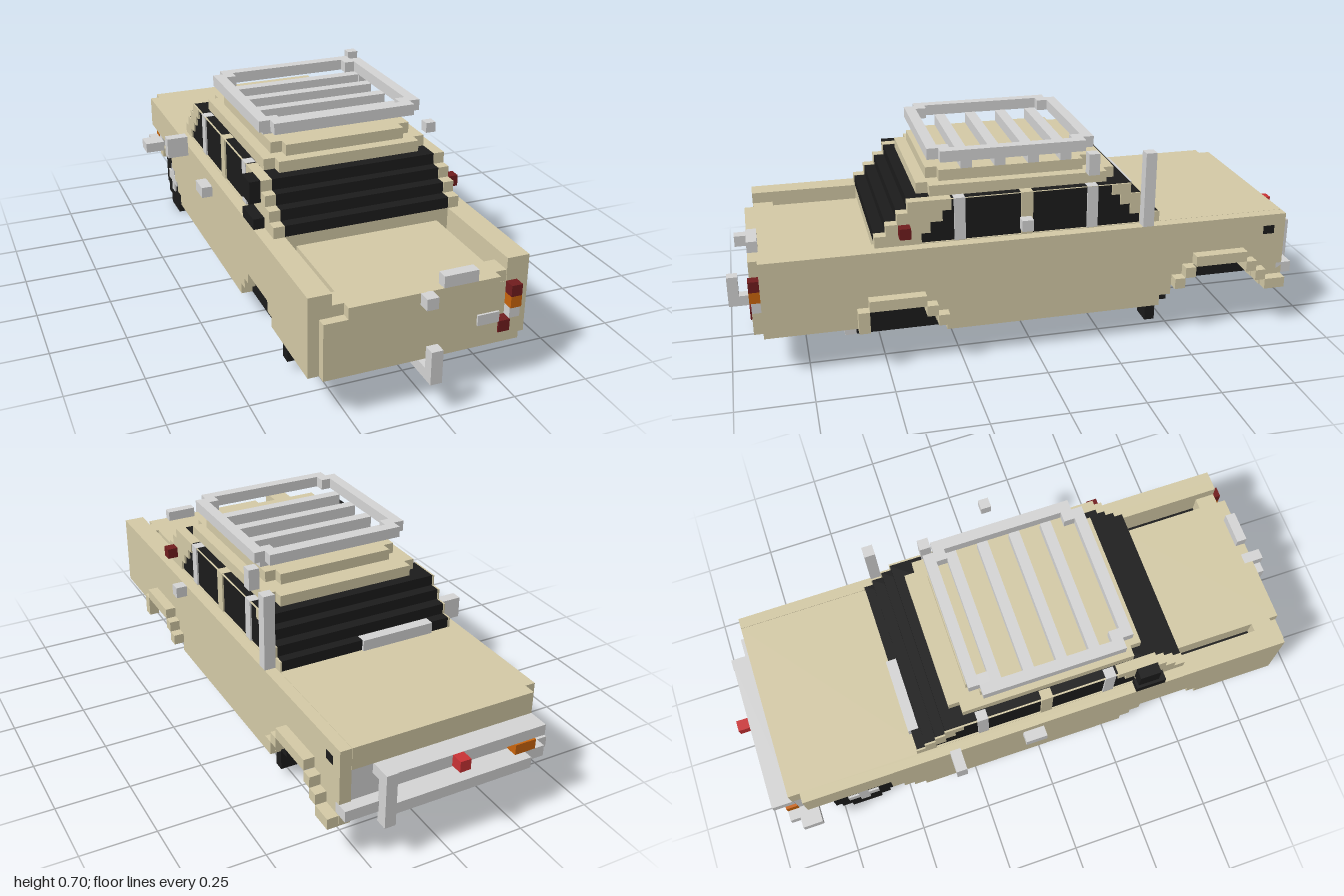
import * as THREE from 'three';

const mat = (name, color) => {
  const m = new THREE.MeshStandardMaterial({ color });
  m.name = name;
  return m;
};

export function createModel() {
  const model = new THREE.Group();
  model.name = 'voxelCar';
  const tan = mat('tan paint', 0xd6cca8);
  const grey = mat('grey metal', 0xd7d7d7);
  const black = mat('black', 0x1c1c1c);
  const darkRed = mat('dark red', 0x721d1e);
  const red = mat('bright red', 0xcc3336);
  const orange = mat('orange', 0xcc660c);

  // Axis-aligned block given by its limits
  const block = (name, material, x0, x1, y0, y1, z0, z1) => {
    const mesh = new THREE.Mesh(new THREE.BoxGeometry(x1 - x0, y1 - y0, z1 - z0), material);
    mesh.position.set((x0 + x1) / 2, (y0 + y1) / 2, (z0 + z1) / 2);
    mesh.name = name;
    model.add(mesh);
  };
  // Side profile of [z, y] points, filling x0 to x1
  const path = (pts, C = THREE.Shape) => new C(pts.map(([z, y]) => new THREE.Vector2(z, y)));
  const slab = (name, material, x0, x1, pts, holes = []) => {
    const shape = path(pts);
    shape.holes = holes.map(h => path(h, THREE.Path));
    const geo = new THREE.ExtrudeGeometry(shape, { depth: x1 - x0, bevelEnabled: false });
    geo.rotateY(-Math.PI / 2);
    const mesh = new THREE.Mesh(geo, material);
    mesh.position.x = x1;
    mesh.name = name;
    model.add(mesh);
  };

  // Body sides with stepped wheel arches; the right front arch is open to the nose
  const rearHalf = [
    [0.89, 0.41], [0.89, 0.15], [0.59, 0.15], [0.59, 0.185], [0.555, 0.185], [0.555, 0.222],
    [0.37, 0.222], [0.37, 0.185], [0.335, 0.185], [0.335, 0.15], [0.3, 0.15], [0.3, 0.112],
    [-0.44, 0.112], [-0.44, 0.15], [-0.48, 0.15], [-0.48, 0.185], [-0.515, 0.185], [-0.515, 0.222],
    [-0.555, 0.222], [-0.555, 0.26],
  ];
  slab('bodySideLeft', tan, 0.295, 0.333, [
    ...rearHalf, [-0.74, 0.26], [-0.74, 0.222], [-0.775, 0.222], [-0.775, 0.185],
    [-0.81, 0.185], [-0.81, 0.15], [-0.89, 0.15], [-0.89, 0.41],
  ]);
  slab('bodySideRight', tan, -0.37, -0.333, [
    ...rearHalf, [-0.555, 0.298], [-0.85, 0.298], [-0.85, 0.41],
  ]);

  // Dark chassis core and floor
  block('chassis', black, -0.333, 0.295, 0.113, 0.3, -0.48, 0.594);
  block('engineBay', black, -0.26, 0.22, 0.15, 0.33, -0.84, -0.48);
  block('wheelWellLining', black, -0.333, 0.295, 0.27, 0.334, -0.82, -0.48);
  block('rearFloor', black, -0.333, 0.295, 0.155, 0.3, 0.594, 0.884);

  // Hood, deck and rails
  block('hood', tan, -0.335, 0.294, 0.335, 0.41, -0.89, -0.4);
  block('cabinBase', tan, -0.333, 0.295, 0.3, 0.41, -0.44, 0.52);
  block('rearDeck', tan, -0.26, 0.222, 0.3, 0.372, 0.52, 0.92);
  block('railLeft', tan, 0.26, 0.295, 0.3, 0.41, 0.52, 0.89);
  block('railRight', tan, -0.333, -0.297, 0.3, 0.41, 0.52, 0.89);
  for (const x of [-0.297, 0.222]) block('railEnd', tan, x, x + 0.037, 0.3, 0.372, 0.82, 0.889);

  // Rear panel with lamps
  block('rearPanel', tan, -0.335, 0.222, 0.15, 0.335, 0.885, 0.92);
  block('rearPanelSide', tan, 0.222, 0.26, 0.15, 0.335, 0.88, 0.89);
  block('rearPanelFoot', tan, 0.222, 0.295, 0.15, 0.187, 0.885, 0.92);
  block('rearPanelCorner', tan, 0.26, 0.295, 0.187, 0.225, 0.885, 0.92);
  block('tailLampTop', darkRed, 0.26, 0.296, 0.298, 0.335, 0.886, 0.925);
  block('tailLampMiddle', orange, 0.26, 0.296, 0.26, 0.298, 0.886, 0.925);
  block('tailLampBottom', grey, 0.26, 0.295, 0.225, 0.26, 0.885, 0.92);
  block('rearReflector', darkRed, 0.222, 0.26, 0.187, 0.225, 0.888, 0.926);
  block('reversingLamp', grey, 0.15, 0.222, 0.225, 0.26, 0.89, 0.927);
  block('trunkHandle', grey, -0.037, 0, 0.335, 0.372, 0.89, 0.96);
  block('trunkPlate', grey, 0.037, 0.148, 0.372, 0.41, 0.885, 0.92);

  // Cabin core in stairs of dark glass: rear z, front z, rear edge of the side window
  const rows = [[0.52, -0.44, 0.37], [0.482, -0.408, 0.34], [0.445, -0.37, 0.3], [0.41, -0.335, 0.27]];
  const step = 0.0365;
  const sides = [-0.334, 0.26];
  rows.forEach(([rear, front, pane], i) => {
    const y = 0.41 + i * step;
    block('glassRow', black, -0.328, 0.289, y, y + step, front + 0.003, rear);
    for (const x of sides) block('rearPillar', tan, x, x + 0.036, y, y + step + 0.001, pane, rear + 0.002);
  });

  // Side window frames and pillars
  const frame = [];
  rows.forEach(([z], i) => frame.push([z, 0.41 + i * step], [z, 0.41 + (i + 1) * step]));
  [...rows].reverse().forEach(([, z], i) => frame.push([z, 0.556 - i * step], [z, 0.556 - (i + 1) * step]));
  const panes = [
    [[0.37, 0.412], [0.37, 0.4465], [0.34, 0.4465], [0.34, 0.483], [0.3, 0.483], [0.3, 0.5195], [0.27, 0.5195],
      [0.27, 0.555], [0.04, 0.555], [0.04, 0.412]],
    [[0, 0.412], [0, 0.555], [-0.27, 0.555], [-0.27, 0.5195], [-0.3, 0.5195], [-0.3, 0.483], [-0.335, 0.483],
      [-0.335, 0.4465], [-0.37, 0.4465], [-0.37, 0.412]],
  ];
  for (const x of [-0.334, 0.289]) slab('windowFrame', tan, x, x + 0.006, frame, panes);
  for (const x of sides) {
    block('centrePillar', tan, x, x + 0.035, 0.412, 0.557, 0, 0.04);
    for (const z of [0.225, -0.222]) block('windowPillar', grey, x, x + 0.035, 0.412, 0.557, z, z + 0.037);
  }
  block('wiper', grey, -0.26, 0, 0.41, 0.448, -0.446, -0.41);

  // Stepped roof with cut corners
  block('roofLower', tan, -0.297, 0.26, 0.556, 0.593, -0.26, 0.335);
  block('roofLowerEnds', tan, -0.26, 0.222, 0.556, 0.593, -0.297, 0.373);
  block('roofUpper', tan, -0.26, 0.222, 0.593, 0.63, -0.187, 0.297);
  block('roofUpperEnds', tan, -0.222, 0.185, 0.593, 0.63, -0.225, 0.335);

  // Roof rack: ring with cut corners over four rungs
  for (const x of [-0.297, 0.222]) block('rackSide', grey, x, x + 0.037, 0.668, 0.705, -0.187, 0.297);
  for (const z of [-0.224, 0.297]) block('rackEnd', grey, -0.26, 0.222, 0.668, 0.705, z, z + 0.037);
  for (const x of [-0.26, 0.187])
    for (const z of [-0.187, 0.26]) block('rackCorner', grey, x, x + 0.035, 0.668, 0.705, z, z + 0.037);
  for (const z of [-0.148, -0.037, 0.075, 0.187]) block('rackRung', grey, -0.26, 0.222, 0.63, 0.669, z, z + 0.037);
  block('rackLamp', grey, 0.26, 0.297, 0.595, 0.668, -0.224, -0.187);

  // Wheel arch flares on the left side: z limits and height of each step
  [
    [0.37, 0.555, 0.222], [0.555, 0.592, 0.185], [0.555, 0.592, 0.148], [0.333, 0.37, 0.185], [0.296, 0.333, 0.148],
    [-0.74, -0.555, 0.26], [-0.555, -0.518, 0.222], [-0.518, -0.481, 0.185], [-0.777, -0.74, 0.222],
    [-0.814, -0.777, 0.185], [-0.888, -0.814, 0.148],
  ].forEach(([z0, z1, y]) => block('archFlare', tan, 0.333, 0.37, y, y + 0.037, z0, z1));

  // Wheel in stepped rows with a cross-shaped hub
  [0.055, 0.09, 0.11, 0.11, 0.11, 0.09, 0.055].forEach((h, i) =>
    block('wheel', black, -0.335, i ? -0.225 : -0.26, i * 0.037, (i + 1) * 0.037, -0.663 - h, -0.663 + h));
  block('hub', grey, -0.342, -0.335, 0.075, 0.185, -0.68, -0.645);
  block('hub', grey, -0.342, -0.335, 0.112, 0.148, -0.72, -0.608);
  block('mudFlapRear', black, -0.335, -0.225, 0.04, 0.112, 0.595, 0.632);
  block('mudFlapRearArm', black, -0.335, -0.298, 0.112, 0.155, 0.595, 0.632);
  block('mudFlapFront', black, 0.222, 0.295, 0.04, 0.115, -0.44, -0.405);

  // Front grille, bumper and lamps
  block('grille', grey, -0.333, 0.295, 0.225, 0.335, -0.885, -0.84);
  block('grilleSlot', black, -0.222, 0, 0.235, 0.262, -0.889, -0.884);
  block('grilleBar', grey, -0.335, 0.222, 0.298, 0.335, -0.96, -0.885);
  block('bumper', grey, -0.37, 0.333, 0.187, 0.225, -0.925, -0.87);
  block('bumperFace', grey, -0.297, 0.222, 0.187, 0.225, -0.957, -0.92);
  block('valance', tan, -0.333, 0.295, 0.15, 0.187, -0.885, -0.84);
  block('bumperPost', grey, 0.185, 0.222, 0.15, 0.335, -0.962, -0.92);
  block('bumperCorner', grey, -0.407, -0.333, 0.187, 0.225, -0.89, -0.82);
  block('turnLamp', orange, -0.335, -0.26, 0.225, 0.26, -0.925, -0.884);
  block('noseLamp', red, -0.037, 0, 0.298, 0.335, -1, -0.96);

  // Exhaust, muffler and tow bar
  block('pipe', grey, -0.037, 0, 0.075, 0.113, -0.66, 0.63);
  block('muffler', grey, 0, 0.11, 0.078, 0.113, -0.08, 0.12);
  for (let i = 0; i < 4; i++)
    block('pipeBend', grey, i * 0.037, (i + 1) * 0.037, 0.113, 0.15, 0.74 - i * 0.037, 0.815 - i * 0.037);
  block('pipeCross', grey, -0.075, 0.148, 0.075, 0.112, 0.594, 0.63);
  block('pipeMount', black, -0.11, -0.075, 0.075, 0.112, 0.594, 0.63);
  block('crossBar', grey, -0.297, 0.295, 0.112, 0.156, 0.595, 0.632);
  block('towBar', grey, -0.037, 0, 0.113, 0.15, 0.594, 0.965);
  block('towPost', grey, -0.037, 0, 0.113, 0.222, 0.963, 1);

  // Mirrors, handles, antenna and side markers
  block('mirrorRight', grey, -0.445, -0.37, 0.372, 0.445, -0.335, -0.298);
  block('handleRight', grey, -0.407, -0.37, 0.335, 0.372, -0.075, 0);
  block('mirrorLeft', grey, 0.408, 0.445, 0.483, 0.52, 0.037, 0.074);
  block('antenna', grey, 0.295, 0.333, 0.41, 0.668, -0.407, -0.37);
  block('sideMarker', darkRed, 0.295, 0.333, 0.445, 0.482, 0.408, 0.445);
  block('sideVentUpper', black, -0.37, -0.333, 0.483, 0.556, 0.335, 0.408);
  block('sideVentLower', black, -0.37, -0.333, 0.41, 0.445, 0.335, 0.44);
  block('fenderVent', black, 0.33, 0.334, 0.34, 0.37, -0.85, -0.81);
  return model;
}
